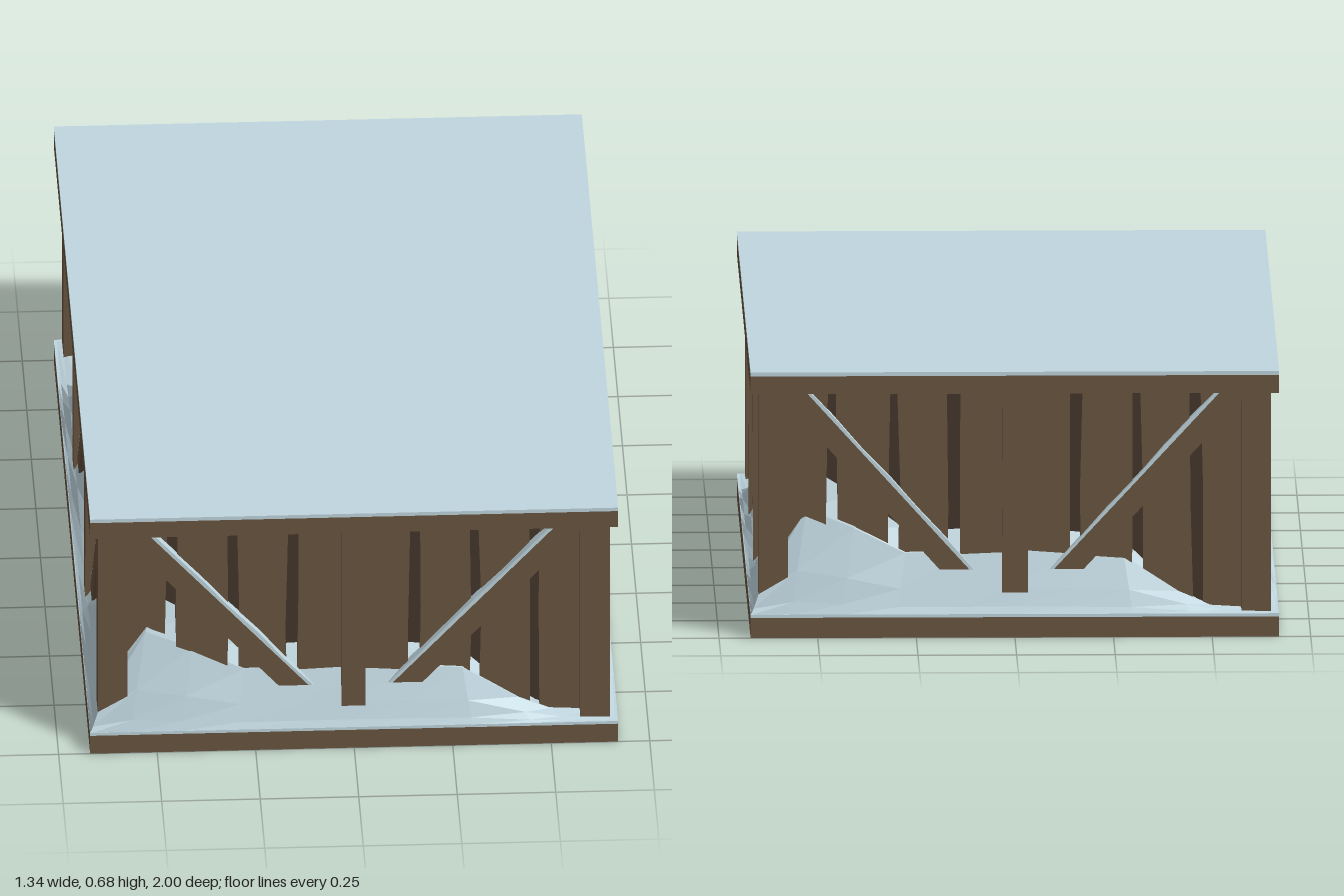
import * as THREE from 'three';

const HX = 0.67, HZ = 1.0;      // half sizes of the floor and roof slabs
const TOP = 0.64;               // boards run slightly into the roof slab

const wood = new THREE.MeshStandardMaterial({ color: 0x6a5540 });
wood.name = 'wood';
const darkWood = new THREE.MeshStandardMaterial({ color: 0x43362a });
darkWood.name = 'dark wood';
const snow = new THREE.MeshStandardMaterial({ color: 0xc0d6df });
snow.name = 'snow';

let seed = 7;
const jitter = (amount) => {
  seed = (seed * 16807) % 2147483647;
  return (seed / 2147483647 - 0.5) * 2 * amount;
};

function add(parent, geometry, material, name) {
  const mesh = new THREE.Mesh(geometry, material);
  mesh.name = name;
  parent.add(mesh);
  return mesh;
}

function box(parent, w, h, d, x, y, z, material, name) {
  add(parent, new THREE.BoxGeometry(w, h, d), material, name).position.set(x, y, z);
}

// Flat board from an outline, reaching from z0 to z1
function board(parent, points, z0, z1, material, name) {
  const shape = new THREE.Shape(points.map(([x, y]) => new THREE.Vector2(x, y)));
  const geometry = new THREE.ExtrudeGeometry(shape, { depth: z1 - z0, bevelEnabled: false });
  add(parent, geometry, material, name).position.z = z0;
}

// Upright board with slightly crooked edges
function upright(parent, u0, u1, z0, z1, wobble, name) {
  const j = () => jitter(wobble);
  board(parent, [
    [u0 + j(), 0.05], [u1 + j(), 0.05], [u1 + j(), 0.32], [u1 + j(), TOP],
    [u0 + j(), TOP], [u0 + j(), 0.38],
  ], z0, z1, wood, name);
}

// Diagonal brace with a thin line of snow along its upper edge
function brace(parent, uTop, uBottom, yBottom, front) {
  const s = Math.sign(uBottom - uTop), w = 0.075 * s;
  board(parent, [
    [uTop, TOP], [uBottom, yBottom], [uBottom - w, yBottom], [uTop - w, TOP],
  ], front - 0.03, front, wood, 'brace');
  const line = [[uTop, TOP], [uBottom, yBottom]];
  for (let i = 0; i <= 6; i++) {
    const t = 1 - i / 6;
    const thick = s * (0.011 + jitter(0.004));
    line.push([uTop + (uBottom - uTop) * t + thick, TOP + (yBottom - TOP) * t]);
  }
  board(parent, line, front - 0.027, front - 0.001, snow, 'braceSnow');
}

// Faceted snow bank: [position along wall, height] stations, mitred at the corners
function snowBank(parent, half, edge, stations) {
  const profile = [[0, 0], [0.008, 0.12], [0.022, 0.42], [0.05, 1], [0.085, 1.4]];
  const positions = [], index = [], n = profile.length;
  stations.forEach(([u, h], i) => {
    profile.forEach(([d, k], j) => {
      positions.push(u * (half - d) / half, 0.059 + h * k, edge - d);
      if (i && j) {
        const c = i * n + j, b = c - 1, d0 = c - n, a = b - n;
        index.push(a, b, c, a, c, d0);
      }
    });
  });
  const indexed = new THREE.BufferGeometry();
  indexed.setAttribute('position', new THREE.Float32BufferAttribute(positions, 3));
  indexed.setIndex(index);
  const geometry = indexed.toNonIndexed();
  geometry.computeVertexNormals();
  add(parent, geometry, snow, 'snowBank');
}

// One wall facing +z: planks, posts, braces and snow
function wall(name, half, edge, spec) {
  const side = new THREE.Group();
  side.name = name;
  const end = half - 0.055, step = 2 * end / spec.planks;
  for (let i = 0; i < spec.planks; i++) {
    const u = -end + i * step, gap = spec.gap / 2;
    const face = edge - 0.05 + jitter(0.004);
    upright(side, u + gap, u + step - gap, edge - 0.09, face, 0.006, 'plank');
  }
  spec.posts.forEach((u) => upright(side, u - 0.031, u + 0.031, edge - 0.07, edge - 0.018, 0.003, 'post'));
  spec.braces.forEach(([a, b, y], i) => brace(side, a, b, y, edge - 0.028 - 0.003 * (i % 2)));
  snowBank(side, half, edge, spec.snow);
  return side;
}

const shortWall = {
  planks: 8, gap: 0.026, posts: [0],
  braces: [[-0.54, -0.115, 0.17], [0.535, 0.1, 0.17]],
  snow: [[-0.67, 0.13], [-0.57, 0.265], [-0.44, 0.215], [-0.3, 0.15], [-0.13, 0.155], [0, 0.16],
    [0.15, 0.15], [0.3, 0.14], [0.45, 0.05], [0.54, 0.015], [0.67, 0.008]],
};
const longWall = {
  planks: 17, gap: 0.024, posts: [-0.33, 0.31],
  braces: [[-0.87, -0.36, 0.11], [-0.22, 0.28, 0.1], [0.2, -0.31, 0.11], [0.85, 0.34, 0.11]],
  snow: [[-1, 0.008], [-0.78, 0.015], [-0.68, 0.06], [-0.57, 0.115], [-0.4, 0.05], [-0.2, 0.085],
    [0, 0.055], [0.2, 0.045], [0.4, 0.06], [0.58, 0.12], [0.8, 0.09], [1, 0.13]],
};

export function createModel() {
  const model = new THREE.Group();
  model.name = 'snowyWoodenBlock';

  // Floor and roof slabs, each with a thin layer of snow
  box(model, 2 * HX, 0.052, 2 * HZ, 0, 0.026, 0, wood, 'floorSlab');
  box(model, 2 * HX, 0.008, 2 * HZ, 0, 0.056, 0, snow, 'floorSnow');
  box(model, 2 * HX, 0.046, 2 * HZ, 0, 0.651, 0, wood, 'roofSlab');
  box(model, 2 * HX, 0.01, 2 * HZ, 0, 0.679, 0, snow, 'roofSnow');

  // Dark core seen through the gaps between planks
  box(model, 2 * HX - 0.16, 0.59, 2 * HZ - 0.16, 0, 0.345, 0, darkWood, 'core');

  // Corner posts
  for (const sx of [-1, 1]) {
    for (const sz of [-1, 1]) {
      box(model, 0.075, 0.57, 0.075, sx * 0.612, 0.345, sz * 0.942, wood, 'cornerPost');
    }
  }

  // Two short and two long walls, opposite walls alike under a half turn
  for (const turn of [0, Math.PI]) {
    const end = wall(turn ? 'backWall' : 'frontWall', HX, HZ, shortWall);
    end.rotation.y = turn;
    const flank = wall(turn ? 'rightWall' : 'leftWall', HZ, HX, longWall);
    flank.rotation.y = turn + Math.PI / 2;
    model.add(end, flank);
  }
  return model;
}
